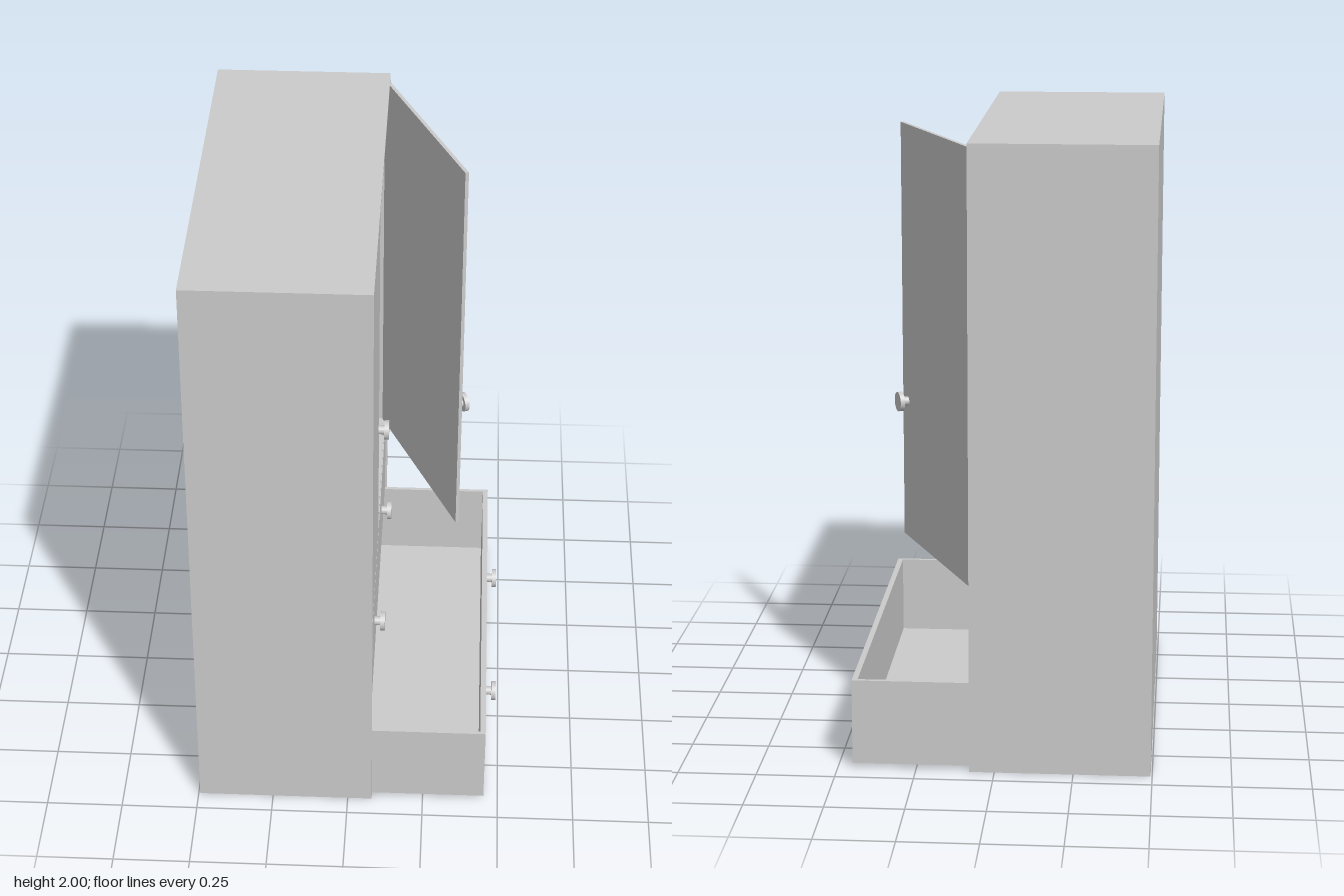
import * as THREE from 'three';

const material = new THREE.MeshStandardMaterial({ color: 0xcccccc });

// Box given by its minimum and maximum corners
function panel(parent, name, [x0, y0, z0], [x1, y1, z1]) {
  const mesh = new THREE.Mesh(new THREE.BoxGeometry(x1 - x0, y1 - y0, z1 - z0), material);
  mesh.name = name;
  mesh.position.set((x0 + x1) / 2, (y0 + y1) / 2, (z0 + z1) / 2);
  parent.add(mesh);
  return mesh;
}

// Round knob with a stem, pointing to +x
function knob(parent, x, y, z) {
  const group = new THREE.Group();
  group.name = 'knob';
  for (const [name, radius, length, offset] of [['knobStem', 0.015, 0.022, 0.01], ['knobHead', 0.032, 0.015, 0.0275]]) {
    const mesh = new THREE.Mesh(new THREE.CylinderGeometry(radius, radius, length, 32), material);
    mesh.name = name;
    mesh.rotation.z = -Math.PI / 2;
    mesh.position.x = offset;
    group.add(mesh);
  }
  group.position.set(x, y, z);
  parent.add(group);
}

const FACE = 0.073; // x of the closed fronts
const HALF = 0.665; // half of the inner width

// Open-topped drawer, pulled out by the given distance
function drawer(name, y0, y1, pull) {
  const group = new THREE.Group();
  group.name = name;
  const back = FACE - 0.535, front = FACE - 0.018, t = 0.013;
  panel(group, 'drawerFront', [front, y0, -HALF], [FACE, y1, HALF]);
  panel(group, 'drawerBack', [back, y0, -HALF], [back + t, y1, HALF]);
  panel(group, 'drawerBottom', [back + t, y0, -HALF + t], [front, y0 + t, HALF - t]);
  panel(group, 'drawerSideRight', [back + t, y0, HALF - t], [front, y1, HALF]);
  panel(group, 'drawerSideLeft', [back + t, y0, -HALF], [front, y1, -HALF + t]);
  for (const z of [-0.305, 0.305]) knob(group, FACE, (y0 + y1) / 2 + 0.012, z);
  group.position.x = pull;
  return group;
}

// Door hinged at its own origin; side is the direction it runs along z
function door(name, side, angle) {
  const group = new THREE.Group();
  group.name = name;
  const width = 0.66, ends = [0, side * width].sort((a, b) => a - b);
  panel(group, 'doorPanel', [-0.012, 0.605, ends[0]], [0, 1.985, ends[1]]);
  knob(group, 0, 1.07, side * 0.612);
  group.position.set(FACE, 0, -side * HALF);
  group.rotation.y = angle;
  return group;
}

export function createModel() {
  const model = new THREE.Group();
  model.name = 'wardrobe';

  // Carcass
  const x0 = -0.495, x1 = 0.08, z = 0.68, t = 0.014;
  const carcass = new THREE.Group();
  carcass.name = 'carcass';
  model.add(carcass);
  panel(carcass, 'top', [x0, 2 - t, -z], [x1, 2, z]);
  panel(carcass, 'base', [x0, 0, -z], [x1, t, z]);
  panel(carcass, 'sideRight', [x0, t, z - t], [x1, 2 - t, z]);
  panel(carcass, 'sideLeft', [x0, t, -z], [x1, 2 - t, -z + t]);
  panel(carcass, 'back', [x0, t, -z + t], [x0 + t, 2 - t, z - t]);

  // Shelves above each drawer
  for (const y of [0.3, 0.6]) {
    panel(carcass, 'shelf', [x0 + t, y - 0.005, -z + t], [FACE - 0.003, y + 0.005, z - t]);
  }

  // Drawers: lower one pulled out, upper one closed
  model.add(drawer('lowerDrawer', 0.015, 0.292, 0.38));
  model.add(drawer('upperDrawer', 0.305, 0.593, 0));

  // Doors: one closed, one ajar
  model.add(door('closedDoor', -1, 0));
  model.add(door('openDoor', 1, THREE.MathUtils.degToRad(24.5)));

  return model;
}
